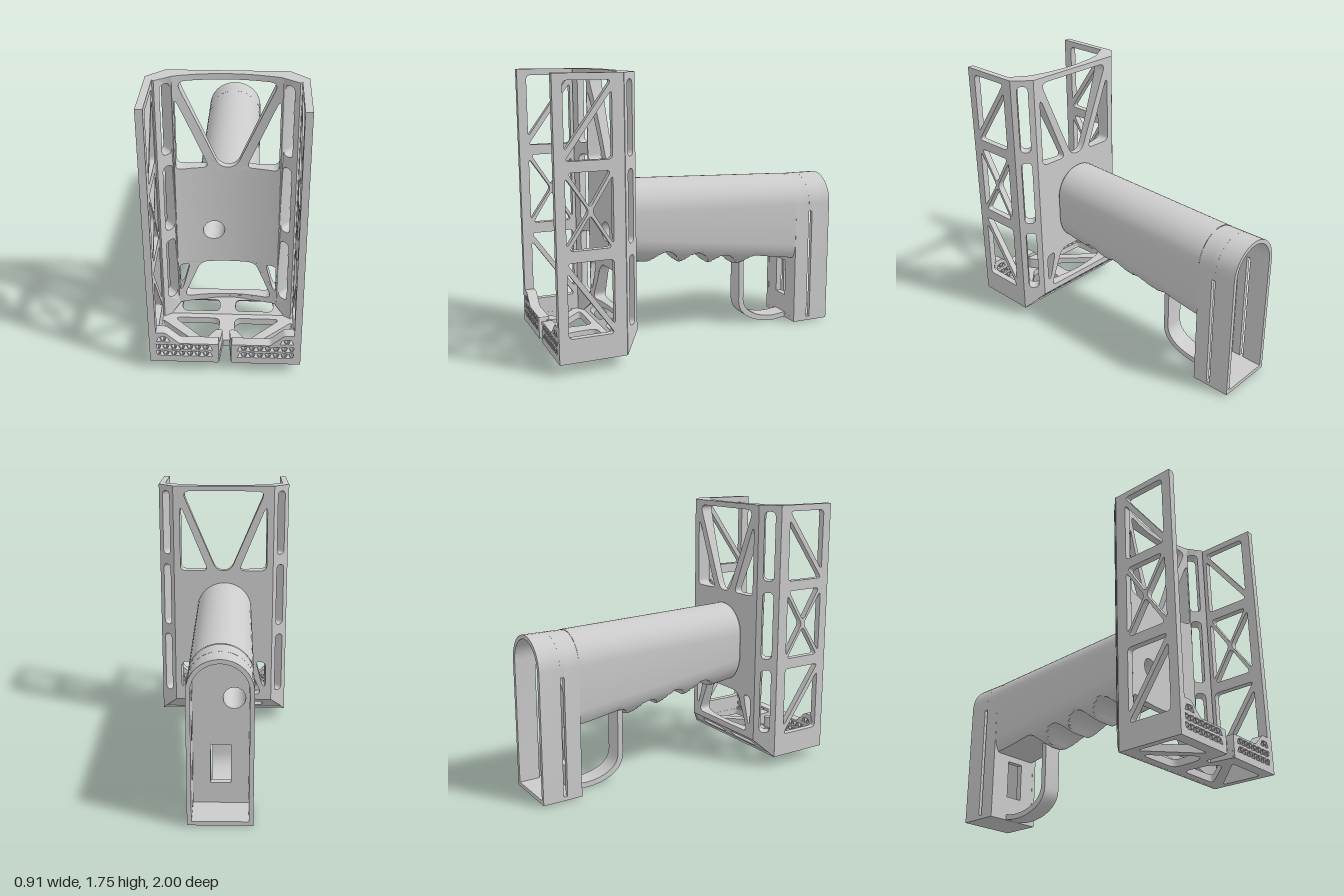
import * as THREE from 'three';
import { toCreasedNormals } from 'three/addons/utils/BufferGeometryUtils.js';

const material = new THREE.MeshStandardMaterial({ color: 0xcccccc });
const doubleSided = new THREE.MeshStandardMaterial({ color: 0xcccccc, side: THREE.DoubleSide });

// Closed outline through points, with corners rounded by r
function rounded(pts, r, Type = THREE.Path) {
  const p = pts.map(([x, y]) => new THREE.Vector2(x, y));
  const out = new Type();
  p.forEach((c, i) => {
    const a = p[(i + p.length - 1) % p.length], b = p[(i + 1) % p.length];
    const from = c.clone().lerp(a, Math.min(0.45, r / c.distanceTo(a)));
    const to = c.clone().lerp(b, Math.min(0.45, r / c.distanceTo(b)));
    if (i) out.lineTo(from.x, from.y); else out.moveTo(from.x, from.y);
    if (r) out.quadraticCurveTo(c.x, c.y, to.x, to.y);
  });
  out.closePath();
  return out;
}

const outline = (pts) => new THREE.Shape(pts.map(([x, y]) => new THREE.Vector2(x, y)));
const box = (x0, x1, y0, y1) => [[x0, y0], [x1, y0], [x1, y1], [x0, y1]];
const flip = (pts) => pts.map(([x, y]) => [-x, y]);
const circle = (x, y, r) => new THREE.Path().absarc(x, y, r, 0, Math.PI * 2);

function extrude(shape, depth, holes = []) {
  shape.holes.push(...holes);
  return new THREE.ExtrudeGeometry(shape, { depth, bevelEnabled: false, curveSegments: 8 });
}

// Moves every vertex by a rule
function reshape(geo, rule) {
  const p = geo.attributes.position;
  for (let i = 0; i < p.count; i++) p.setXYZ(i, ...rule(p.getX(i), p.getY(i), p.getZ(i)));
  return geo;
}

// Bisects long edges so that a flat panel can be curved
function subdivide(geo, max) {
  const p = geo.attributes.position, out = [];
  const split = (a, b, c) => {
    const ab = a.distanceTo(b), bc = b.distanceTo(c), ca = c.distanceTo(a);
    if (Math.max(ab, bc, ca) < max) {
      out.push(a, b, c);
    } else if (ab >= bc && ab >= ca) {
      const mid = a.clone().add(b).multiplyScalar(0.5);
      split(a, mid, c);
      split(mid, b, c);
    } else if (bc >= ca) {
      split(b, c, a);
    } else {
      split(c, a, b);
    }
  };
  for (let i = 0; i < p.count; i += 3) {
    split(...[0, 1, 2].map((k) => new THREE.Vector3().fromBufferAttribute(p, i + k)));
  }
  return new THREE.BufferGeometry().setFromPoints(out);
}

// Mirrored copy across x = 0 with the winding restored
function mirror(geo) {
  const out = geo.clone(), p = geo.attributes.position, q = out.attributes.position;
  for (let i = 0; i < p.count; i++) {
    const j = i + 2 - 2 * (i % 3);
    q.setXYZ(i, -p.getX(j), p.getY(j), p.getZ(j));
  }
  return out;
}

export function createModel() {
  const model = new THREE.Group();
  const add = (name, geo, mat = material) => {
    geo.deleteAttribute('normal');
    const mesh = new THREE.Mesh(toCreasedNormals(geo, 0.6), mat);
    mesh.name = name;
    model.add(mesh);
  };
  const addPair = (name, geo) => {
    add(name + 'Left', geo);
    add(name + 'Right', mirror(geo));
  };

  // Back panel: flat outside, hollowed inside
  const topSide = [[0.305, 1.16], [0.305, 1.6], [0.29, 1.6], [0.11, 1.16]];
  const teardrop = [[0.308, 0.28], [0.308, 0.47], [0.235, 0.48], [0.285, 0.29]];
  const back = extrude(outline(box(-0.35, 0.35, 0.18, 1.755)), 0.045, [
    rounded([[-0.29, 1.72], [-0.05, 1.16], [0.05, 1.16], [0.29, 1.72]], 0.06),
    rounded(topSide, 0.04), rounded(flip(topSide), 0.04),
    rounded([[-0.28, 0.22], [0.28, 0.22], [0.17, 0.48], [-0.17, 0.48]], 0.05),
    rounded(teardrop, 0.04), rounded(flip(teardrop), 0.04),
    circle(-0.085, 0.715, 0.066),
  ]);
  add('backPanel', reshape(subdivide(back, 0.09), (x, y, z) => z < 0.02 ? [x, y, 0.48]
    : [THREE.MathUtils.clamp(x, -0.31, 0.31), y, 0.525 + 0.5 * Math.min(Math.abs(x), 0.31) ** 2]));

  // Angled corner panels with long slots
  const corner = extrude(outline([[0, 0.18], [0.145, 0.07], [0.145, 1.755], [0, 1.755]]), 0.08,
    [[0.24, 0.675], [0.75, 1.195], [1.27, 1.715]].map(([a, b]) => rounded(box(0.0375, 0.1075, a, b), 0.035)));
  addPair('cornerPanel', reshape(corner, (u, y, d) => u < 0.01 && d > 0.01 ? [0.3, y, 0.57]
    : [0.35 + 0.724 * u - 0.69 * d, y, 0.48 + 0.69 * u + 0.724 * d]));

  // Truss side panels
  const trusses = [
    [[0.94, 1.715], [0.94, 1.32], [0.655, 1.715]],
    [[0.655, 1.265], [0.655, 1.66], [0.94, 1.265]],
    [[0.94, 0.765], [0.94, 1.175], [0.8, 0.97]],
    [[0.655, 0.765], [0.655, 1.175], [0.785, 0.97]],
    [[0.925, 1.2], [0.665, 1.2], [0.795, 0.99]],
    [[0.925, 0.745], [0.665, 0.745], [0.795, 0.95]],
    [[0.94, 0.22], [0.94, 0.62], [0.655, 0.22]],
    [[0.655, 0.675], [0.655, 0.275], [0.94, 0.675]],
  ];
  addPair('sidePanel', extrude(outline(box(0.58, 1, 0.07, 1.755)), 0.042, trusses.map((t) => rounded(t, 0.03)))
    .rotateY(-Math.PI / 2).translate(0.453, 0, 0));

  // Floor with diagonal braces and a front notch
  const inner = [[0.045, 0.645], [0.34, 0.645], [0.11, 0.87], [0.055, 0.83]];
  const outer = [[0.41, 0.67], [0.41, 0.93], [0.12, 0.93]];
  const floorShape = outline([[-0.44, 0.58], [0.44, 0.58], [0.44, 0.99], [0.035, 0.99],
    [0.02, 0.85], [-0.02, 0.85], [-0.035, 0.99], [-0.44, 0.99]]);
  add('floor', extrude(floorShape, 0.045, [
    rounded(inner, 0.05), rounded(flip(inner), 0.05), rounded(outer, 0.03), rounded(flip(outer), 0.03),
  ]).rotateX(Math.PI / 2).translate(0, 0.115, 0));

  // Sloped lower back edge with two slots
  const slot = box(0.05, 0.29, 0.045, 0.115);
  add('lowerBackEdge', reshape(
    extrude(outline([[-0.35, 0], [0.35, 0], [0.453, 0.16], [-0.453, 0.16]]), 0.04,
      [rounded(slot, 0.03), rounded(flip(slot), 0.03)]),
    (x, s, d) => [x, 0.18 - 0.69 * s + 0.72 * (0.04 - d), 0.48 + 0.72 * s + 0.69 * (0.04 - d)]));

  // Front lip with triangular lattice
  const cells = [];
  [[0.115, 0.09, 14], [0.165, 0.09, 14], [0.222, 0.345, 3]].forEach(([y, x0, n]) => {
    for (let i = 0; i < n; i++) {
      const x = x0 + i * 0.024, up = i % 2 ? 0.036 : 0, down = 0.036 - up;
      cells.push(rounded([[x - 0.017, y + up], [x + 0.017, y + up], [x, y + down]], 0));
    }
  });
  const lip = rounded([[0.037, 0.07], [0.45, 0.07], [0.42, 0.29], [0.355, 0.29], [0.27, 0.212], [0.037, 0.212]],
    0.012, THREE.Shape);
  addPair('frontLip', extrude(lip, 0.065, cells).translate(0, 0, 0.935));

  // Raised rim around the notch
  addPair('notchRim', extrude(rounded([[0.02, 0.84], [0.06, 0.84], [0.11, 0.91], [0.11, 0.96], [0.035, 0.96]],
    0.015, THREE.Shape), 0.08).rotateX(Math.PI / 2).translate(0, 0.19, 0));

  // Grip: sections along z, cut underneath by finger grooves
  const R = 0.192, CX = -0.006, around = 48, along = 110, pos = [], index = [];
  const grooves = [[0.2, 0.6], [-0.015, 0.57], [-0.22, 0.535], [-0.45, 0.51]];
  const underside = (z) => z < -0.45 ? 0.51 + (z + 0.45) * 0.17
    : Math.max(...grooves.map(([c, top]) => top - 7.5 * (z - c) ** 2));
  for (let i = 0; i <= along; i++) {
    const z = 0.48 - 1.22 * i / along, k = i === 0 ? 0.95 : 1;
    const top = 1.075 - 0.035 * (0.48 - z), low = 0.54 - 0.125 * (0.48 - z);
    for (let j = 0; j < around; j++) {
      const a = (j / around) * Math.PI * 2, s = Math.sin(a), c = Math.cos(a);
      const x = s >= 0 ? c : Math.sign(c) * Math.abs(c) ** 0.85;
      const y = s >= 0 ? top - R + R * k * s : low + 0.2 + 0.2 * k * s;
      pos.push(CX + R * k * x, Math.max(y, underside(z)), z);
      if (i < along) {
        const p = i * around + j, q = i * around + (j + 1) % around;
        index.push(p, p + around, q, q, p + around, q + around);
      }
    }
  }
  const grip = new THREE.BufferGeometry().setIndex(index);
  grip.setAttribute('position', new THREE.Float32BufferAttribute(pos, 3));
  add('grip', grip.toNonIndexed(), doubleSided);

  // Bore running through the grip
  add('bore', new THREE.CylinderGeometry(0.066, 0.066, 1.29, 32, 1, true).toNonIndexed()
    .rotateX(Math.PI / 2).translate(-0.085, 0.715, -0.13), doubleSided);

  // Hollow arched end housing, with a slot through both side walls
  const arch = (r, bottom, Type = THREE.Shape) => {
    const s = new Type();
    s.moveTo(CX - r, bottom);
    s.lineTo(CX + r, bottom);
    s.absarc(CX, 0.838, r, 0, Math.PI, false);
    s.closePath();
    return s;
  };
  const wall = 0.026;
  [['housingRear', -1, 0.135], ['housingFront', -0.84, 0.1]].forEach(([name, z, depth]) => {
    add(name, extrude(arch(R, 0.01), depth, [arch(R - wall, 0.036, THREE.Path)]).translate(0, 0, z));
  });
  const bridge = new THREE.Shape([...arch(R, 0.79).getPoints(16).slice(1),
    new THREE.Vector2(CX - R + wall, 0.79), ...arch(R - wall, 0.79).getPoints(16).slice(1, -1).reverse()]);
  add('housingBridge', extrude(bridge, 0.025).translate(0, 0, -0.865));
  add('housingFloor', new THREE.BoxGeometry(2 * R, wall, 0.025).toNonIndexed().translate(CX, 0.023, -0.8525));
  add('bulkhead', extrude(arch(R - 0.002, 0.012), 0.04,
    [rounded(box(-0.065, 0.055, 0.17, 0.42), 0), circle(-0.085, 0.715, 0.066)]).translate(0, 0, -0.781));

  // Finger guard loop
  const guard = new THREE.Shape();
  guard.moveTo(-0.375, 0.47);
  guard.lineTo(-0.375, 0.17);
  guard.bezierCurveTo(-0.375, 0.06, -0.5, 0.0, -0.65, 0.0);
  guard.lineTo(-0.745, 0.012);
  guard.lineTo(-0.745, 0.045);
  guard.lineTo(-0.65, 0.035);
  guard.bezierCurveTo(-0.52, 0.035, -0.41, 0.09, -0.41, 0.18);
  guard.lineTo(-0.41, 0.47);
  guard.closePath();
  add('fingerGuard', extrude(guard, 0.125).rotateY(-Math.PI / 2).translate(0.056, 0, 0));

  return model;
}
